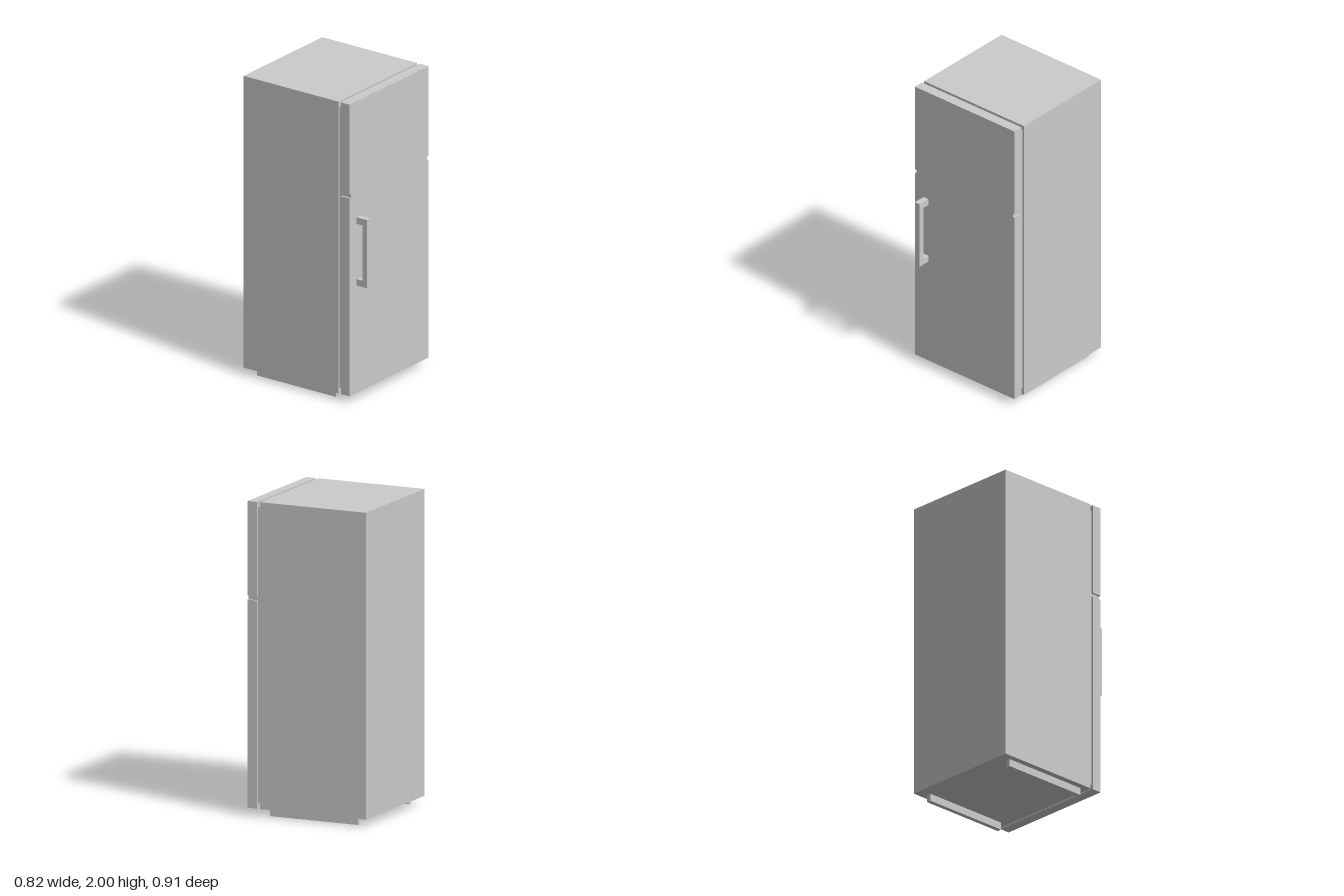
import * as THREE from 'three';

const material = new THREE.MeshStandardMaterial({ color: 0xcccccc, flatShading: true });

// Box given by its min and max on each axis
function block(name, [x0, x1], [y0, y1], [z0, z1]) {
  const mesh = new THREE.Mesh(new THREE.BoxGeometry(x1 - x0, y1 - y0, z1 - z0), material);
  mesh.position.set((x0 + x1) / 2, (y0 + y1) / 2, (z0 + z1) / 2);
  mesh.name = name;
  return mesh;
}

export function createModel() {
  const group = new THREE.Group();
  group.name = 'refrigerator';
  const width = [-0.411, 0.411], inset = [-0.398, 0.398];
  const doorDepth = [0.303, 0.37];

  // Cabinet and the recessed seal behind the doors
  group.add(block('cabinet', width, [0.048, 2], [-0.453, 0.282]));
  group.add(block('doorSeal', inset, [0.082, 1.965], [0.282, 0.303]));

  // Doors with a slightly narrower strip between them
  group.add(block('fridgeDoor', width, [0.048, 1.372], doorDepth));
  group.add(block('doorDivider', inset, [1.372, 1.398], doorDepth));
  group.add(block('freezerDoor', width, [1.398, 2], doorDepth));

  // C-shaped handle, extruded sideways
  const profile = new THREE.Shape([
    [0.37, 0.768], [0.453, 0.768], [0.453, 1.224], [0.37, 1.224],
    [0.37, 1.181], [0.417, 1.181], [0.417, 0.811], [0.37, 0.811],
  ].map(([z, y]) => new THREE.Vector2(-z, y)).reverse());
  const handleGeometry = new THREE.ExtrudeGeometry(profile, { depth: 0.04, bevelEnabled: false });
  handleGeometry.rotateY(Math.PI / 2);
  // Shape x now runs along -z, and depth along +x
  const handle = new THREE.Mesh(handleGeometry, material);
  handle.position.x = -0.34;
  handle.name = 'handle';
  group.add(handle);

  // Floor runners
  for (const [side, x] of [['left', 0.355], ['right', -0.355]]) {
    group.add(block(side + 'Runner', [x - 0.015, x + 0.015], [0, 0.048], [-0.378, 0.234]));
  }
  return group;
}
